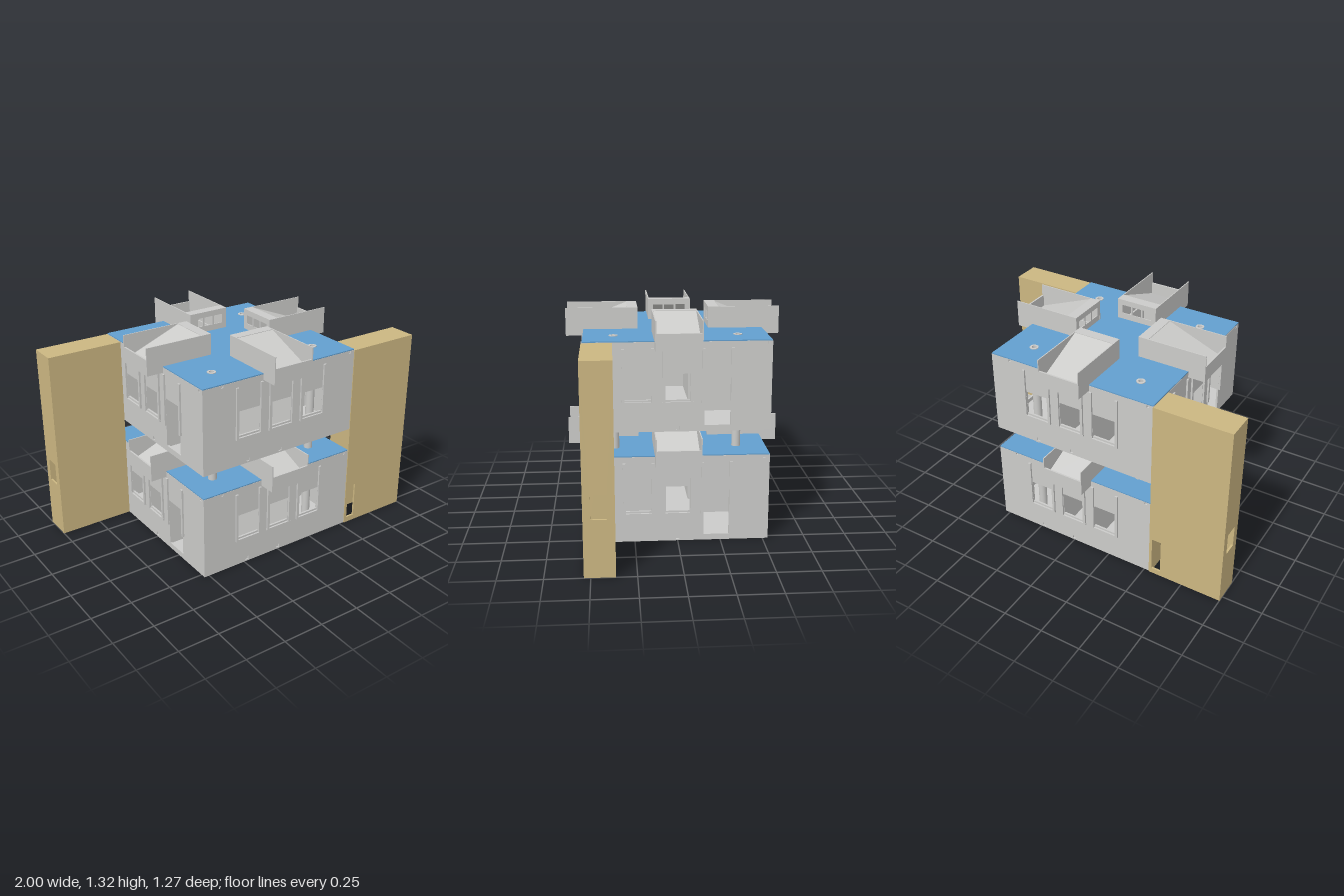
import * as THREE from 'three';

const grey = new THREE.MeshStandardMaterial({ color: 0xcbcbc9, name: 'concreteGrey' });
const blue = new THREE.MeshStandardMaterial({ color: 0x629fcf, name: 'roofBlue' });
const tan = new THREE.MeshStandardMaterial({ color: 0xcbb681, name: 'towerTan' });

const H = 0.532;      // half width of a storey
const LIFT = 0.665;   // height of the upper storey
const POST = 0.357;   // post offset from the centre

function add(parent, name, geometry, material) {
  const mesh = new THREE.Mesh(geometry, material);
  mesh.name = name;
  parent.add(mesh);
  return mesh;
}

// Box given by its minimum and maximum on each axis
function block(parent, name, material, x0, x1, y0, y1, z0, z1) {
  const mesh = add(parent, name, new THREE.BoxGeometry(x1 - x0, y1 - y0, z1 - z0), material);
  mesh.position.set((x0 + x1) / 2, (y0 + y1) / 2, (z0 + z1) / 2);
  return mesh;
}

function polygon(points, Type = THREE.Shape) {
  return new Type(points.map(([x, y]) => new THREE.Vector2(x, y)));
}

const rect = (x0, x1, y0, y1) => [[x0, y0], [x1, y0], [x1, y1], [x0, y1]];

// Flat panel with rectangular holes, thickened along z
function panel(bounds, holes, depth) {
  const shape = polygon(rect(...bounds));
  holes.forEach((h) => shape.holes.push(polygon(rect(...h), THREE.Path)));
  return new THREE.ExtrudeGeometry(shape, { depth, bevelEnabled: false });
}

// Horizontal slab with round holes for the posts
function slab(points, holeRadius, depth) {
  const shape = polygon(points);
  for (const x of [-POST, POST]) for (const y of [-POST, POST]) {
    const hole = new THREE.Path();
    hole.absarc(x, y, holeRadius, 0, Math.PI * 2, true);
    shape.holes.push(hole);
  }
  return new THREE.ExtrudeGeometry(shape, { depth, bevelEnabled: false, curveSegments: 16 })
    .rotateX(-Math.PI / 2);
}

// Roof scoop: full side walls, low outer wall and a panel sloping outwards
function makeDormer() {
  const g = new THREE.Group();
  g.name = 'dormer';
  for (const s of [-1, 1]) {
    const x = s * 0.1285;
    block(g, 'dormerSide', grey, x - 0.003, x + 0.003, 0.485, 0.65, 0.21, 0.635);
  }
  block(g, 'dormerOuterWall', grey, -0.126, 0.126, 0.485, 0.58, 0.625, 0.635);
  block(g, 'dormerBase', grey, -0.126, 0.126, 0.485, 0.491, H, 0.626);
  block(g, 'dormerCap', grey, -0.126, 0.126, 0.643, 0.65, 0.21, 0.272);
  // cross-section of the sloping panel in (z, y), swept across the width
  const slope = polygon([[0.27, 0.64], [0.626, 0.5], [0.626, 0.508], [0.27, 0.648]]);
  const geo = new THREE.ExtrudeGeometry(slope, { depth: 0.252, bevelEnabled: false })
    .rotateY(-Math.PI / 2).translate(0.126, 0, 0);
  add(g, 'dormerSlope', geo, grey);
  const inner = panel([-0.126, 0.126, 0.515, 0.643],
    [[-0.1, -0.04, 0.56, 0.615], [-0.03, 0.03, 0.56, 0.615], [0.04, 0.1, 0.56, 0.615]], 0.006);
  add(g, 'dormerInnerFace', inner, grey).position.z = 0.211;
  return g;
}

// One facade with three windows; the flank sides also have a doorway
function makeFacade(isFlank) {
  const g = new THREE.Group();
  g.name = 'facade';
  const holes = [];
  for (const c of [-0.225, 0, 0.225]) {
    const isDoor = isFlank && c > 0;
    const w = c === 0 ? 0.069 : 0.074;
    holes.push([c - w, c + w, isDoor ? 0.035 : 0.186, 0.335]);
    for (const s of [-1, 1]) {
      const x = c + s * (c === 0 ? 0.08 : 0.0825);
      block(g, 'windowRail', grey, x - 0.008, x + 0.008, 0.165, 0.48, H - 0.002, 0.543);
    }
    if (!isDoor) block(g, 'windowSill', grey, c - 0.09, c + 0.09, 0.164, 0.175, H - 0.002, 0.543);
  }
  // cable sockets at the base and under the roof
  const sockets = isFlank ? [[0, 0.02], [0.5, 0.506]] : [[0, 0.02], [-0.23, 0.02], [-0.405, 0.508], [0.5, 0.508]];
  for (const [x, y] of sockets) {
    const r = y < 0.1 ? 0.011 : 0.007;
    holes.push([x - r, x + r, y - r, y + r]);
    block(g, 'socketBack', grey, x - r, x + r, y - r, y + r, H - 0.012, H - 0.007);
  }
  add(g, 'wall', panel([-H, H, 0, 0.517], holes, 0.012), grey).position.z = H - 0.012;
  g.add(makeDormer());
  return g;
}

function makeStorey() {
  const g = new THREE.Group();
  g.name = 'storey';
  for (let k = 0; k < 4; k++) {
    const facade = makeFacade(k % 2 === 1);
    facade.rotation.y = k * Math.PI / 2;
    g.add(facade);
  }
  add(g, 'floor', slab(rect(-H + 0.001, H - 0.001, -H + 0.001, H - 0.001), 0.014, 0.01), grey);

  // roof plate, notched where the dormers sit
  const a = 0.126, b = 0.213, e = 0.531;
  const quarter = [[e, -a], [b, -a], [b, a], [e, a], [e, e]];
  const outline = [];
  for (let k = 0; k < 4; k++) {
    const c = [1, 0, -1, 0][k], s = [0, 1, 0, -1][k];
    quarter.forEach(([x, y]) => outline.push([x * c - y * s, x * s + y * c]));
  }
  add(g, 'roof', slab(outline, 0.025, 0.006), blue).position.y = 0.517;

  // partitions closing off the four corner rooms
  for (const sx of [-1, 1]) for (const sz of [-1, 1]) {
    const p = add(g, 'partition', new THREE.BoxGeometry(0.01, 0.475, 0.39), grey);
    p.position.set(sx * 0.12, 0.2475, sz * 0.315);
    const q = add(g, 'partition', new THREE.BoxGeometry(0.39, 0.475, 0.01), grey);
    q.position.set(sx * 0.315, 0.2475, sz * 0.12);
  }
  return g;
}

// Hollow side tower, open underneath, with a doorway and a side window
function makeTower() {
  const g = new THREE.Group();
  g.name = 'sideTower';
  const x0 = H, x1 = 1, z0 = 0.365, z1 = 0.537, top = 1.18, t = 0.012;
  add(g, 'towerFront', panel([x0, x1, 0, top], [[0.55, 0.608, 0.035, 0.26]], t), tan).position.z = z1 - t;
  block(g, 'towerBack', tan, x0, x1, 0, top, z0, z0 + t);
  block(g, 'towerInnerSide', tan, x0, x0 + t, 0, top, z0 + t, z1 - t);
  const side = panel([-z1 + 0.001, -z0 - 0.001, 0, top], [[-0.495, -0.408, 0.33, 0.47]], t)
    .rotateY(Math.PI / 2);
  add(g, 'towerOuterSide', side, tan).position.x = x1 - t;
  block(g, 'towerTop', tan, x0 + t, x1 - t, top - t, top, z0 + t, z1 - t);
  return g;
}

export function createModel() {
  const model = new THREE.Group();
  model.name = 'twoStoreyBuilding';

  for (const y of [0, LIFT]) {
    const storey = makeStorey();
    storey.position.y = y;
    model.add(storey);
  }

  // hollow posts running through both storeys
  const profile = [[0.014, 0.003], [0.026, 0.003], [0.026, 1.192], [0.014, 1.192], [0.014, 0.003]];
  for (let i = 1; i < profile.length; i++) {
    const ring = new THREE.LatheGeometry(
      [profile[i - 1], profile[i]].map(([r, y]) => new THREE.Vector2(r, y)), 24);
    for (const x of [-POST, POST]) for (const z of [-POST, POST]) {
      add(model, 'post', ring, grey).position.set(x, 0, z);
    }
  }

  // towers on opposite corners
  for (const turn of [0, Math.PI]) {
    const tower = makeTower();
    tower.rotation.y = turn;
    model.add(tower);
  }
  return model;
}
